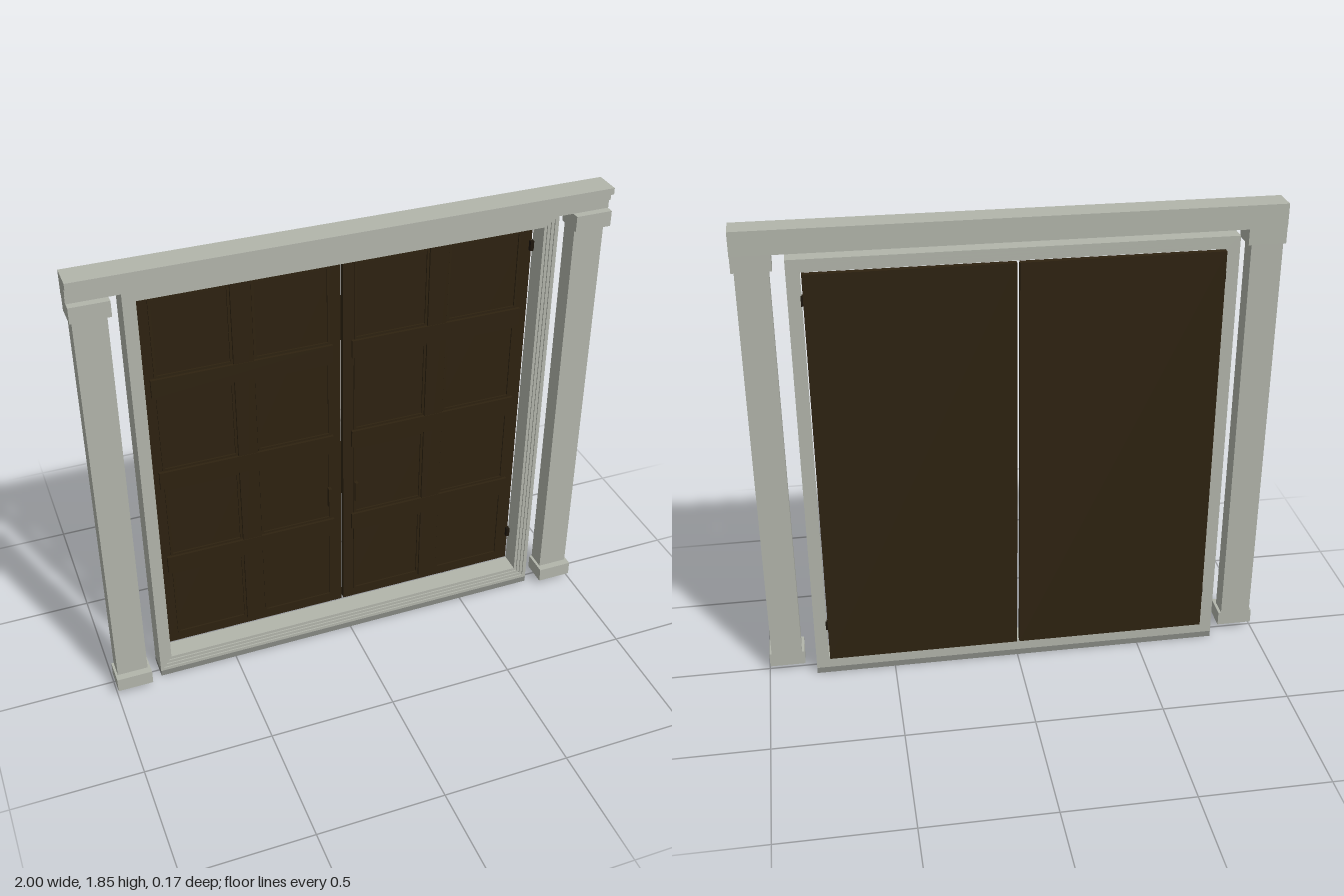
import * as THREE from 'three';

const mat = (name, color) => {
  const m = new THREE.MeshStandardMaterial({ color });
  m.name = name;
  return m;
};

export function createModel() {
  const stone = mat('paleStone', 0xb2b5ab);
  const sillStone = mat('darkStone', 0x868883);
  const wood = mat('darkWood', 0x2e2210);
  const iron = mat('blackIron', 0x1c150b);
  const model = new THREE.Group();
  model.name = 'doubleDoorway';

  // Box given by its min and max on each axis
  function box(parent, name, material, [x0, x1], [y0, y1], [z0, z1]) {
    const mesh = new THREE.Mesh(
      new THREE.BoxGeometry(Math.abs(x1 - x0), y1 - y0, z1 - z0), material);
    mesh.position.set((x0 + x1) / 2, (y0 + y1) / 2, (z0 + z1) / 2);
    mesh.name = name;
    parent.add(mesh);
    return mesh;
  }

  // Flat rectangular ring, extruded from z0 to z1
  function ring(parent, name, material, outer, inner, z0, z1) {
    const corners = ([a, b, c, d]) =>
      [[a, c], [b, c], [b, d], [a, d]].map(p => new THREE.Vector2(...p));
    const shape = new THREE.Shape(corners(outer));
    shape.holes.push(new THREE.Path(corners(inner)));
    const mesh = new THREE.Mesh(
      new THREE.ExtrudeGeometry(shape, { depth: z1 - z0, bevelEnabled: false }), material);
    mesh.position.z = z0;
    mesh.name = name;
    parent.add(mesh);
  }

  // Stepped cornice across the top
  const profile = new THREE.Shape([
    [-0.02, 1.755], [0.054, 1.755], [0.054, 1.785], [0.064, 1.79],
    [0.064, 1.815], [0.083, 1.82], [0.083, 1.845], [-0.02, 1.845],
  ].map(p => new THREE.Vector2(...p)));
  const corniceGeo = new THREE.ExtrudeGeometry(profile, { depth: 2, bevelEnabled: false });
  corniceGeo.rotateY(-Math.PI / 2); // profile z becomes world z, length runs along -x
  corniceGeo.translate(1, 0, 0);
  const cornice = new THREE.Mesh(corniceGeo, stone);
  cornice.name = 'cornice';
  model.add(cornice);

  // Pilasters
  for (const s of [-1, 1]) {
    const pilaster = new THREE.Group();
    pilaster.name = s > 0 ? 'leftPilaster' : 'rightPilaster';
    box(pilaster, 'base', stone, [s * 0.857, s * 0.997], [0.025, 0.083], [-0.02, 0.083]);
    box(pilaster, 'shaft', stone, [s * 0.868, s * 0.988], [0.083, 1.695], [-0.02, 0.054]);
    box(pilaster, 'capital', stone, [s * 0.857, s * 0.999], [1.695, 1.755], [-0.02, 0.083]);
    model.add(pilaster);
  }

  // Door frame: nested rings stepping back towards the opening
  const frame = new THREE.Group();
  frame.name = 'doorFrame';
  const rings = [
    [0.812, 0.025, 1.748, 0.035],
    [0.797, 0.038, 1.734, 0.030],
    [0.785, 0.050, 1.722, 0.025],
    [0.773, 0.062, 1.710, 0.020],
    [0.762, 0.075, 1.701],
  ];
  for (let i = 0; i < 4; i++) {
    const [a, b, c, z] = rings[i], [d, e, f] = rings[i + 1];
    ring(frame, 'frameStep', stone, [-a, a, b, c], [-d, d, e, f], -0.06, z);
  }
  box(frame, 'sill', sillStone, [-0.812, 0.812], [0, 0.025], [-0.06, 0.035]);
  model.add(frame);

  // Doors, each with eight panels between rails and a centre stile
  const rows = [[0.12, 0.445], [0.525, 0.85], [0.93, 1.257], [1.337, 1.66]];
  const columns = [[0.048, 0.34], [0.42, 0.71]];
  for (const s of [-1, 1]) {
    const door = new THREE.Group();
    door.name = s > 0 ? 'leftDoor' : 'rightDoor';
    box(door, 'slab', wood, [s * 0.005, s * 0.758], [0.08, 1.70], [-0.083, -0.06]);
    box(door, 'centreStile', wood, [s * 0.342, s * 0.418], [0.11, 1.67], [-0.06, -0.05]);
    for (let i = 0; i < 3; i++) {
      box(door, 'rail', wood, [s * 0.038, s * 0.726],
        [rows[i][1] + 0.003, rows[i + 1][0] - 0.003], [-0.06, -0.048]);
    }
    for (const [y0, y1] of rows) {
      for (const [a, b] of columns) {
        const x0 = Math.min(s * a, s * b), x1 = Math.max(s * a, s * b), w = 0.009;
        ring(door, 'panelMoulding', wood, [x0, x1, y0, y1],
          [x0 + w, x1 - w, y0 + w, y1 - w], -0.06, -0.054);
      }
    }
    // Hinges and handle
    for (const y of [0.225, 1.595]) {
      box(door, 'hinge', iron, [s * 0.748, s * 0.766], [y - 0.02, y + 0.02], [-0.062, -0.046]);
    }
    box(door, 'handle', wood, [s * 0.05, s * 0.062], [0.59, 0.68], [-0.06, -0.04]);
    model.add(door);
  }
  return model;
}
